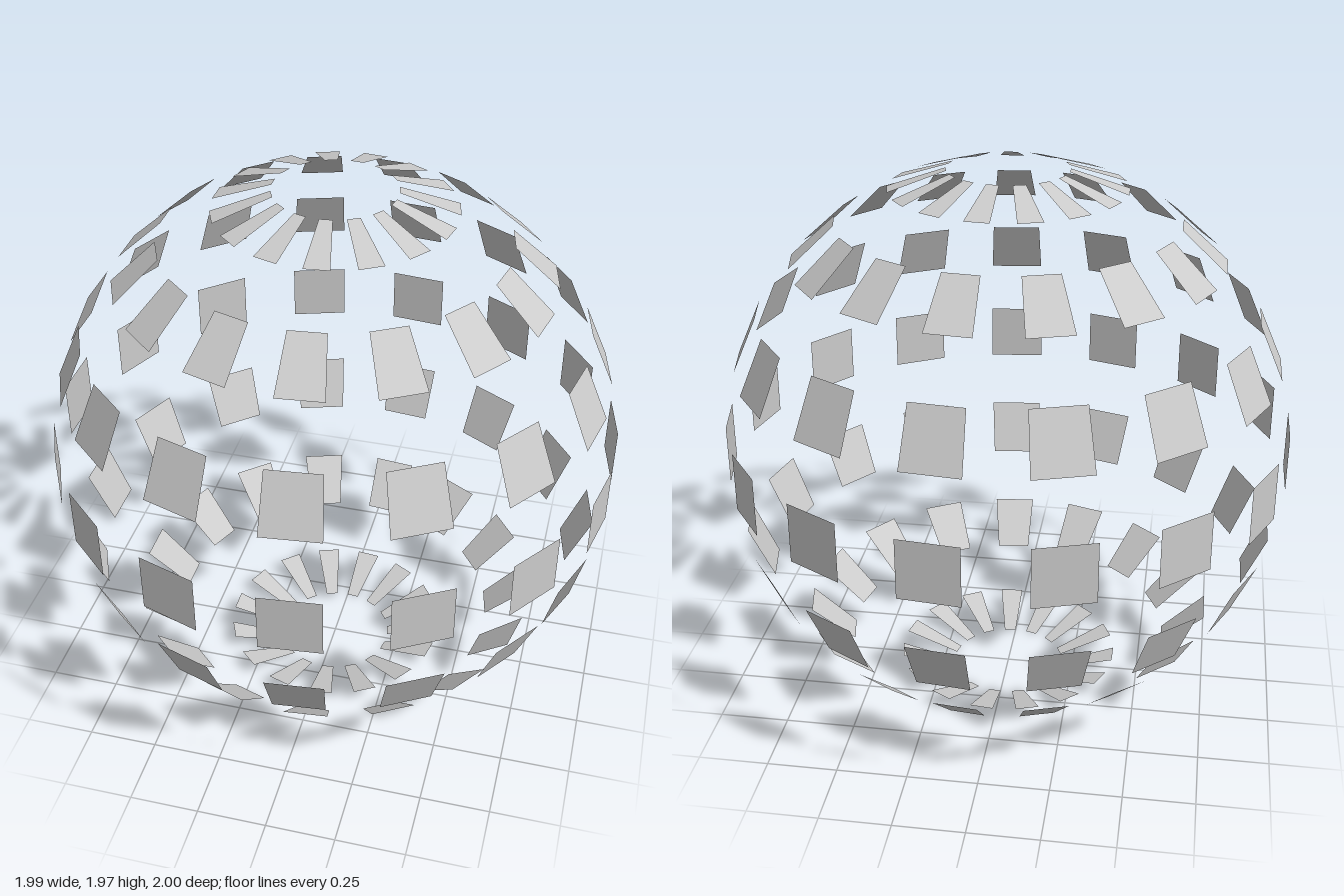
import * as THREE from 'three';

export function createModel() {
  const model = new THREE.Group();
  model.name = 'panelSphere';

  const step = THREE.MathUtils.degToRad(12); // angular size of each panel and gap
  const radius = 1 / Math.cos(step / 2);     // widest panel corners reach z = +-1
  const rows = 7, columns = 15;
  const material = new THREE.MeshStandardMaterial({
    color: 0xcccccc, flatShading: true, side: THREE.DoubleSide,
  });

  // Rings of flat panels, every second cell of a 30 x 15 sphere grid
  for (let row = 0; row < rows; row++) {
    const ring = new THREE.Group();
    ring.name = `panelRing${row + 1}`;
    const theta = step * (1 + 2 * row);
    for (let col = 0; col < columns; col++) {
      // The first panel is centred on -x
      const phi = step * (2 * col - 0.5);
      const panel = new THREE.Mesh(
        new THREE.SphereGeometry(radius, 3, 2, phi, step, theta, step), material);
      panel.geometry.dispose();
      panel.geometry = flatPanel(radius, phi, theta, step);
      panel.name = 'panel';
      ring.add(panel);
    }
    model.add(ring);
  }

  // Lift so the lowest ring edge rests on the ground
  model.position.y = radius * Math.cos(step);
  return model;
}

// One flat four-cornered panel with its corners on the sphere
function flatPanel(radius, phi, theta, step) {
  const points = [];
  for (const [i, j] of [[0, 0], [0, 1], [1, 1], [1, 0]]) {
    const p = phi + i * step, t = theta + j * step;
    points.push(-radius * Math.cos(p) * Math.sin(t),
      radius * Math.cos(t), radius * Math.sin(p) * Math.sin(t));
  }
  const geometry = new THREE.BufferGeometry();
  geometry.setAttribute('position', new THREE.Float32BufferAttribute(points, 3));
  geometry.setIndex([0, 1, 2, 0, 2, 3]);
  geometry.computeVertexNormals();
  return geometry;
}
